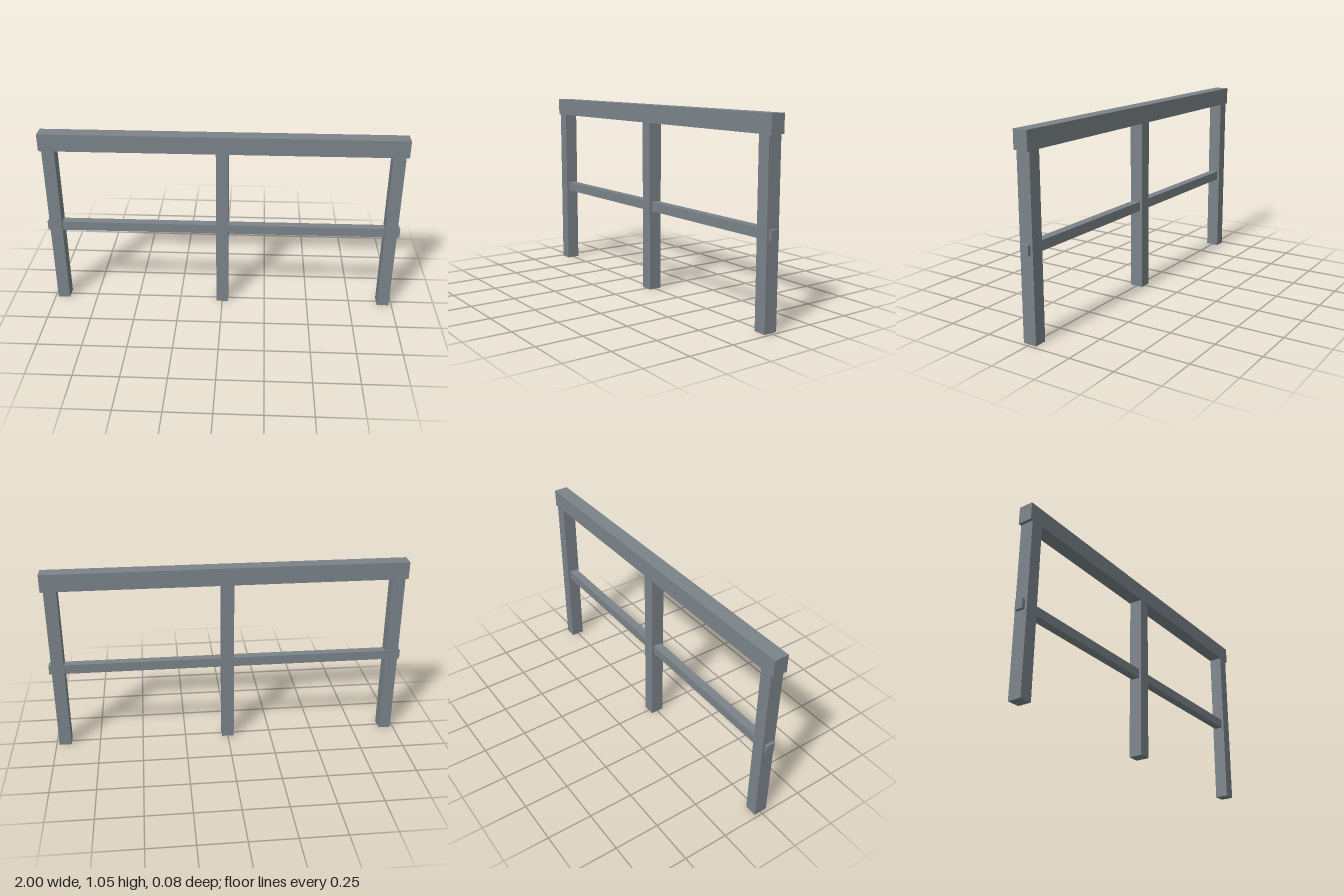
import * as THREE from 'three';

export function createModel() {
  const model = new THREE.Group();
  model.name = 'railing';
  const steel = new THREE.MeshStandardMaterial({ color: 0x7b848a });
  steel.name = 'steel grey';

  // Box beam placed by its bottom height
  function beam(name, width, height, depth, x, bottom) {
    const mesh = new THREE.Mesh(new THREE.BoxGeometry(width, height, depth), steel);
    mesh.name = name;
    mesh.position.set(x, bottom + height / 2, 0);
    model.add(mesh);
  }

  // Upright posts, reaching the underside of the handrail
  const posts = [['rightPost', -0.949], ['middlePost', 0], ['leftPost', 0.949]];
  for (const [name, x] of posts) beam(name, 0.069, 0.952, 0.076, x, 0);

  // Rails, both running the full length
  beam('topRail', 2, 0.098, 0.081, 0, 0.952);
  beam('middleRail', 2, 0.053, 0.048, 0, 0.455);

  return model;
}
